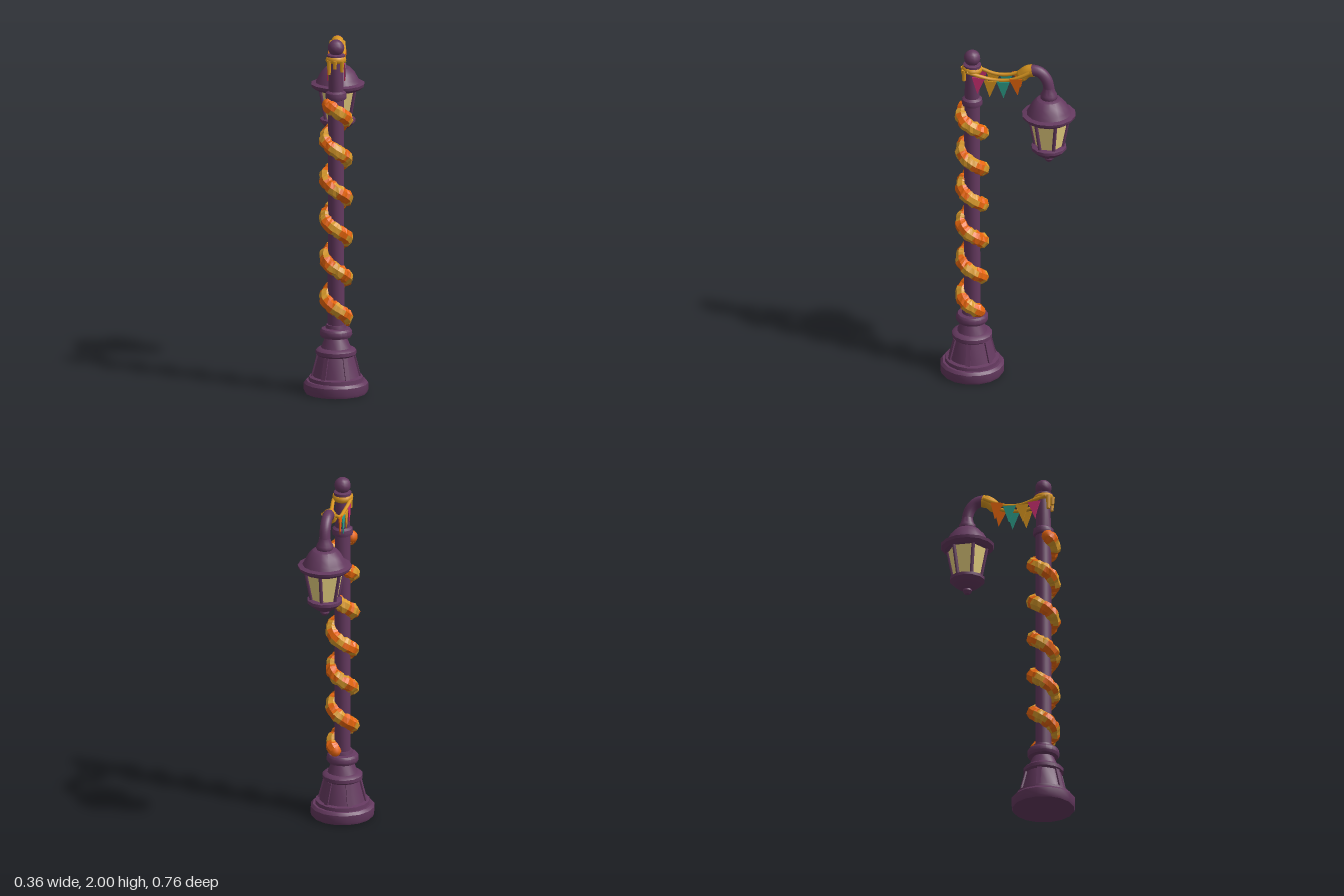
import * as THREE from 'three';
import { toCreasedNormals } from 'three/addons/utils/BufferGeometryUtils.js';

const mat = (name, color, side = THREE.FrontSide) => {
  const m = new THREE.MeshStandardMaterial({ color, side });
  m.name = name;
  return m;
};
const V = (x, y, z) => new THREE.Vector3(x, y, z);
const POLE_Z = 0.2, LAMP_Z = -0.23;

export function createModel() {
  const purple = mat('plum paint', 0x64395f);
  const gold = mat('gold cloth', 0xd8951f, THREE.DoubleSide);
  const orange = mat('orange leaf', 0xe6650c, THREE.DoubleSide);
  const leafGold = mat('golden leaf', 0xd99a2a, THREE.DoubleSide);
  const pink = mat('pink cloth', 0xcc2f72, THREE.DoubleSide);
  const teal = mat('teal cloth', 0x2c9c88, THREE.DoubleSide);
  const glass = mat('warm glass', 0xe6cf80, THREE.DoubleSide);

  const root = new THREE.Group();
  const add = (parent, name, geo, material, x = 0, y = 0, z = 0) => {
    const m = new THREE.Mesh(geo, material);
    m.name = name;
    m.position.set(x, y, z);
    parent.add(m);
    return m;
  };
  const lathe = (pts, sides) =>
    toCreasedNormals(new THREE.LatheGeometry(pts.map(p => new THREE.Vector2(...p)), sides), 0.6);
  const tube = (pts, r, n = 20, sides = 10) =>
    new THREE.TubeGeometry(new THREE.CatmullRomCurve3(pts), n, r, sides);

  // Post: pedestal, shaft and ball finial
  const post = new THREE.Group();
  post.name = 'post';
  post.position.z = POLE_Z;
  root.add(post);
  add(post, 'pedestal', lathe([[0, 0], [0.172, 0], [0.178, 0.015], [0.178, 0.055], [0.165, 0.07], [0.152, 0.07],
    [0.15, 0.09], [0.13, 0.095], [0.1, 0.21], [0.112, 0.22], [0.112, 0.24], [0.1, 0.25], [0.083, 0.255],
    [0.06, 0.31], [0.083, 0.315], [0.09, 0.33], [0.088, 0.35], [0.08, 0.362], [0.058, 0.366], [0.054, 0.385],
    [0, 0.385]], 16), purple);
  add(post, 'shaft', lathe([[0.046, 0.37], [0.044, 1.66], [0.056, 1.665], [0.059, 1.68], [0.056, 1.7], [0.042, 1.71],
    [0.04, 1.89], [0.05, 1.9], [0.05, 1.915], [0.036, 1.92], [0, 1.92]], 12), purple);
  add(post, 'ballFinial', new THREE.SphereGeometry(0.046, 12, 8), purple, 0, 1.954, 0);
  // Raised ribs around the pedestal
  for (let i = 0; i < 6; i++) {
    const spoke = new THREE.Group();
    spoke.name = 'pedestalRib';
    spoke.rotation.y = i * Math.PI / 3;
    add(spoke, 'rib', new THREE.BoxGeometry(0.016, 0.125, 0.026), purple, 0.114, 0.15, 0).rotation.z = 0.25;
    post.add(spoke);
  }

  // Leaf garland: lumpy faceted helix, its bunches alternating in colour
  const A0 = -10 * Math.PI - 0.9, A1 = 2.55;
  class Helix extends THREE.Curve {
    getPoint(t, target = new THREE.Vector3()) {
      const a = A0 + (A1 - A0) * t;
      return target.set(Math.sin(a) * 0.055, 0.482 - 0.225 * a / (2 * Math.PI), Math.cos(a) * 0.055);
    }
  }
  const helix = new Helix(), N = 176, R = 8;
  const hash = n => { const s = Math.sin(n * 127.1 + 3.7) * 43758.5453; return s - Math.floor(s); };
  const garlandGeo = new THREE.TubeGeometry(helix, N, 0.043, R);
  const pos = garlandGeo.attributes.position, p = V(0, 0, 0);
  for (let i = 0; i <= N; i++) {
    const c = helix.getPointAt(i / N);
    for (let j = 0; j <= R; j++) {
      const k = i * (R + 1) + j, q = j % R;
      const s = 0.84 + 0.12 * Math.abs(Math.sin(i * Math.PI / 4)) + 0.16 * (hash(i * R + q) - 0.5);
      p.fromBufferAttribute(pos, k).sub(c).multiplyScalar(s).add(c);
      pos.setXYZ(k, p.x, p.y, p.z);
    }
  }
  const split = [[], []], idx = garlandGeo.index.array;
  for (let i = 0; i < N; i++) for (let j = 0; j < R; j++) {
    const angle = A0 + (A1 - A0) * (i + 0.5) / N;
    const bunch = Math.floor(angle / (Math.PI / 4) + 0.5 + 0.7 * (hash(j + 40 * (i >> 2)) - 0.5));
    split[Math.abs(bunch) % 2 ? 0 : 1].push(...idx.slice((i * R + j) * 6, (i * R + j) * 6 + 6));
  }
  garlandGeo.setIndex([...split[0], ...split[1]]);
  const leaves = garlandGeo.toNonIndexed();
  leaves.clearGroups();
  leaves.addGroup(0, split[0].length, 0);
  leaves.addGroup(split[0].length, split[1].length, 1);
  leaves.computeVertexNormals();
  add(post, 'leafGarland', leaves, [orange, leafGold]);
  for (const t of [0, 1]) {
    const e = helix.getPointAt(t);
    add(post, 'garlandEnd', new THREE.IcosahedronGeometry(0.035, 1), orange, e.x, e.y, e.z);
  }

  // Curved arm above the lantern, its tip wrapped in cloth
  add(root, 'lampArm', tube([V(0, 1.74, LAMP_Z), V(0, 1.81, LAMP_Z), V(0, 1.862, -0.215), V(0, 1.9, -0.18),
    V(0, 1.908, -0.135), V(0, 1.88, -0.085)], 0.031, 24, 12), purple);
  add(root, 'armWrap', tube([V(0, 1.908, -0.142), V(0, 1.9, -0.112), V(0, 1.873, -0.08)], 0.035, 8, 12), gold);
  add(root, 'armWrapEnd', new THREE.SphereGeometry(0.035, 12, 8), gold, 0, 1.873, -0.082);

  // Lantern
  const lantern = new THREE.Group();
  lantern.name = 'lantern';
  lantern.position.z = LAMP_Z;
  root.add(lantern);
  add(lantern, 'roof', lathe([[0, 1.615], [0.125, 1.615], [0.146, 1.632], [0.15, 1.648], [0.124, 1.655], [0.113, 1.675],
    [0.094, 1.71], [0.068, 1.738], [0.045, 1.744], [0.048, 1.752], [0.046, 1.768], [0.036, 1.785], [0.031, 1.81],
    [0, 1.81]], 14), purple);
  add(lantern, 'bottomCup', lathe([[0, 1.35], [0.014, 1.352], [0.026, 1.368], [0.024, 1.38], [0.045, 1.387],
    [0.078, 1.41], [0.09, 1.422], [0.098, 1.43], [0.098, 1.447], [0.085, 1.452], [0, 1.452]], 12), purple);
  // Six panes, one facing sideways, with a post on each corner
  const panes = new THREE.CylinderGeometry(0.111, 0.076, 0.175, 6, 1, true).toNonIndexed();
  panes.computeVertexNormals();
  add(lantern, 'glassPanes', panes, glass, 0, 1.535, 0);
  for (let i = 0; i < 6; i++) {
    const a = i * Math.PI / 3;
    const at = (r, y) => V(Math.sin(a) * r, y, Math.cos(a) * r);
    add(lantern, 'cornerPost', new THREE.TubeGeometry(new THREE.LineCurve3(at(0.075, 1.44), at(0.111, 1.625)),
      1, 0.01, 6), purple);
  }

  // Two bunting ropes from post to arm, each with four pennants
  const shape = new THREE.Shape([[-0.036, 0], [0.036, 0], [0, -0.1]].map(q => new THREE.Vector2(...q)));
  const pennantGeo = new THREE.ExtrudeGeometry(shape, { depth: 0.006, bevelEnabled: false });
  const pennants = [[0.157, 1.856, pink, 0.05], [0.09, 1.842, gold, 0.03], [0.018, 1.843, teal, -0.03],
    [-0.052, 1.868, orange, -0.12]];
  for (const s of [-1, 1]) {
    const bunting = new THREE.Group();
    bunting.name = s > 0 ? 'leftBunting' : 'rightBunting';
    root.add(bunting);
    add(bunting, 'rope', tube([V(s * 0.046, 1.885, 0.22), V(s * 0.045, 1.868, 0.16), V(s * 0.036, 1.848, 0.08),
      V(s * 0.036, 1.85, 0), V(s * 0.038, 1.875, -0.07), V(s * 0.034, 1.908, -0.13)], 0.0105, 24, 8), gold);
    for (const [z, y, m, tilt] of pennants) {
      const flag = add(bunting, 'pennant', pennantGeo, m, s * 0.047 - 0.003, y, z);
      flag.rotation.order = 'YXZ';
      flag.rotation.set(0, Math.PI / 2, -tilt);
    }
  }

  // Cloth tie around the post with hanging tails
  const tie = add(post, 'postTie', new THREE.TorusGeometry(0.045, 0.012, 8, 16), gold, 0, 1.887, 0);
  tie.rotation.x = Math.PI / 2 - 0.12;
  tie.scale.z = 1.6;
  for (const [a, len] of [[-0.8, 0.08], [-0.1, 0.045], [0.7, 0.065]]) {
    add(post, 'tieTail', new THREE.CylinderGeometry(0.014, 0.01, len, 6), gold,
      Math.sin(a) * 0.052, 1.89 - len / 2, Math.cos(a) * 0.052);
  }
  return root;
}
